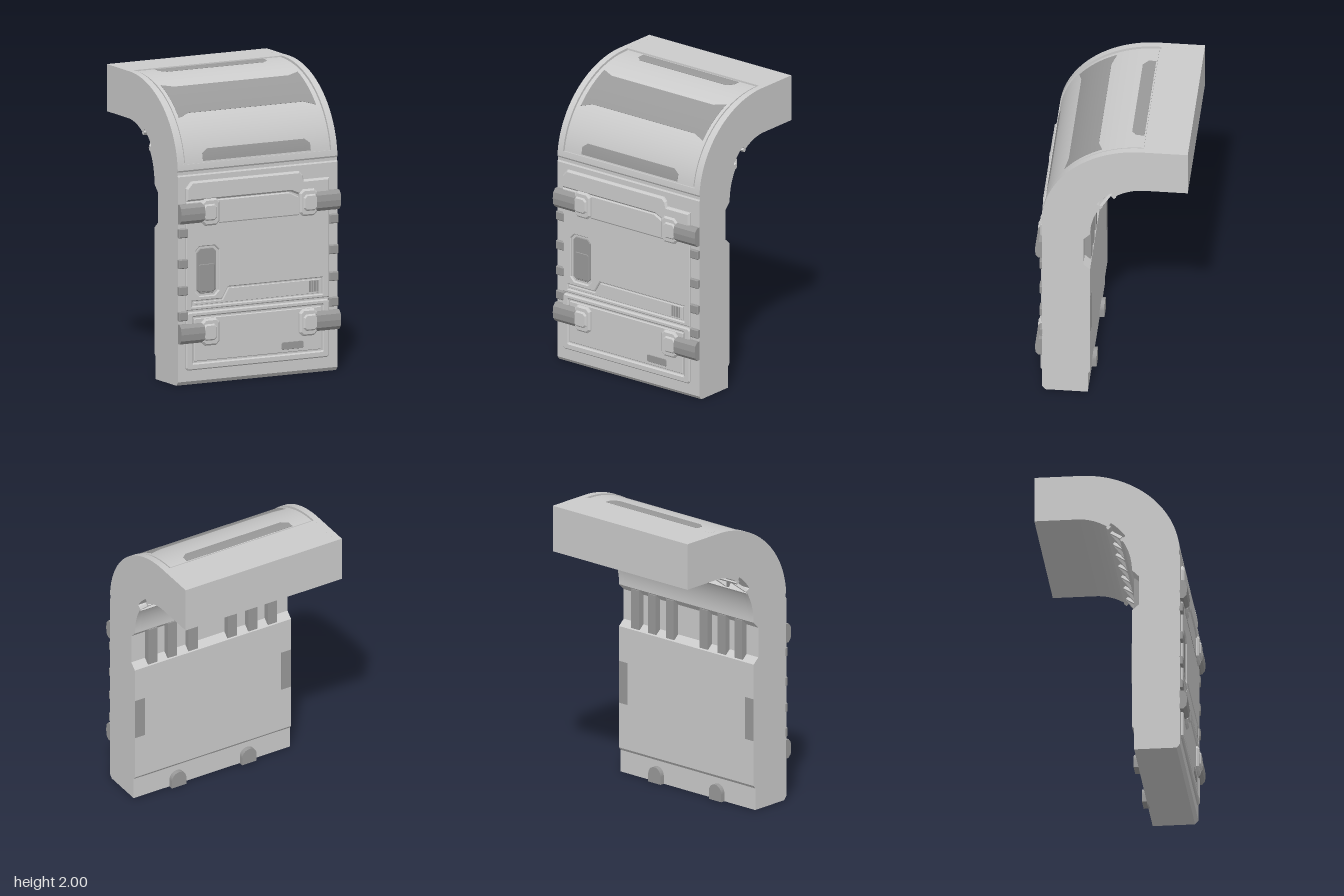
import * as THREE from 'three';
import { toCreasedNormals } from 'three/addons/utils/BufferGeometryUtils.js';

const light = new THREE.MeshStandardMaterial({ color: 0xcccccc });
const dark = new THREE.MeshStandardMaterial({ color: 0x999999 });
const V = (p) => new THREE.Vector2(p[0], p[1]);

function add(parent, name, geo, mat = light, x = 0, y = 0, z = 0) {
  const m = new THREE.Mesh(geo, mat);
  m.name = name;
  m.position.set(x, y, z);
  parent.add(m);
  return m;
}

// Flat plate facing +z, from z0 to z1, with bevelled edges and optional holes
function plate(points, z0, z1, bevel = 0.006, holes = []) {
  const s = new THREE.Shape(points.map(V));
  holes.forEach((h) => s.holes.push(new THREE.Path(h.map(V))));
  const geo = new THREE.ExtrudeGeometry(s, {
    depth: z1 - z0 - bevel, bevelEnabled: bevel > 0, bevelSegments: 1,
    bevelSize: bevel, bevelThickness: bevel, bevelOffset: -bevel,
  });
  return geo.translate(0, 0, z0);
}

// Rectangle with cut corners
function octagon(x0, x1, y0, y1, c) {
  return [[x0 + c, y0], [x1 - c, y0], [x1, y0 + c], [x1, y1 - c],
    [x1 - c, y1], [x0 + c, y1], [x0, y1 - c], [x0, y0 + c]];
}

// Points on the outer and inner curves of the bend, as [z, y]
const outer = (t, off = 0) => [-0.2 + (0.657 + off) * Math.cos(t), 1.4 + (0.6 + off) * Math.sin(t)];
const inner = (t, off = 0) => [-0.22 + (0.36 + off) * Math.cos(t), 1.3 + (0.385 + off) * Math.sin(t)];
const arc = (f, a, b, n, off) => Array.from({ length: n + 1 }, (_, i) => f(a + (b - a) * i / n, off));
const V0 = 0.125, V1 = 1.605;

// Side profile of the wall, with an optional sunken field for the curved visor
function wallProfile(sunk) {
  const bend = sunk
    ? [...arc(outer, 0.06, V0, 4, 0), ...arc(outer, V0, V1, 48, -sunk), outer(V1)]
    : arc(outer, 0.06, Math.PI / 2, 52, 0);
  return [
    [0.435, 0], [0.457, 0.025], [0.457, 1.395], [0.45, 1.405], [0.45, 1.425], ...bend,
    [-0.505, 2], [-0.505, 1.685],
    ...arc(inner, Math.PI / 2, 0.98, 14, 0),
    ...arc(inner, 0.98, 0.64, 6, 0.035),
    ...arc(inner, 0.64, 0, 14, 0),
    [0.185, 1.255], [0.185, 1.05], [0.14, 1.01], [0.14, 0.17], [0.155, 0.15], [0.155, 0],
  ];
}

function wall(x0, x1, sunk) {
  const geo = new THREE.ExtrudeGeometry(new THREE.Shape(wallProfile(sunk).map(V)),
    { depth: x1 - x0, bevelEnabled: false });
  geo.rotateY(-Math.PI / 2).translate(x1, 0, 0);
  return toCreasedNormals(geo, 0.3);
}

// Curved slab on the bend; each column is [x, start angle, end angle], x ascending
function curvedSlab(cols, lo, hi, n = 32) {
  const pos = [], idx = [], w = 2 * (n + 1);
  for (const [x, a, b] of cols) {
    const ring = [...arc(outer, a, b, n, hi), ...arc(outer, b, a, n, lo)];
    ring.forEach(([z, y]) => pos.push(x, y, z));
  }
  const quad = (a, b, c, d) => idx.push(a, b, c, a, c, d);
  for (let c = 0; c < cols.length - 1; c++)
    for (let i = 0; i < w; i++) {
      const j = (i + 1) % w, p = c * w;
      quad(p + i, p + w + i, p + w + j, p + j);
    }
  const e = (cols.length - 1) * w;
  for (let i = 0; i < n; i++) {
    quad(i, i + 1, w - 2 - i, w - 1 - i);
    quad(e + i, e + w - 1 - i, e + w - 2 - i, e + i + 1);
  }
  const geo = new THREE.BufferGeometry();
  geo.setAttribute('position', new THREE.Float32BufferAttribute(pos, 3));
  geo.setIndex(idx);
  return toCreasedNormals(geo, 0.5);
}

// Strap reaching in from the side edge with a foot gripping the door
function clamp(side, y) {
  const g = new THREE.Group();
  g.name = 'clamp';
  const X = (pts) => (side > 0 ? pts : pts.map(([x, v]) => [-x, v]).reverse());
  add(g, 'clampFoot', plate(X(octagon(0.3, 0.435, -0.09, 0.09, 0.025)), 0.455, 0.491, 0.012));
  add(g, 'clampPad', plate(X(octagon(0.325, 0.43, -0.055, 0.055, 0.02)), 0.48, 0.502, 0.01));
  const section = [[0.455, -0.065], [0.48, -0.065], [0.5, -0.042], [0.505, 0],
    [0.5, 0.042], [0.48, 0.065], [0.455, 0.065]];
  const strap = new THREE.ExtrudeGeometry(new THREE.Shape(section.map(V)), { depth: 0.18, bevelEnabled: false });
  strap.rotateY(-Math.PI / 2).translate(side > 0 ? 0.6 : -0.42, 0, 0);
  add(g, 'clampStrap', strap, dark);
  g.position.y = y;
  return g;
}

export function createModel() {
  const model = new THREE.Group();
  model.name = 'curvedWallModule';

  // Wall body
  const body = new THREE.Group();
  body.name = 'wallBody';
  add(body, 'wallCentre', wall(-0.555, 0.555, 0.016));
  add(body, 'wallSideLeft', wall(0.555, 0.6, 0));
  add(body, 'wallSideRight', wall(-0.6, -0.555, 0));
  model.add(body);

  // Curved visor and its inlays
  const visor = new THREE.Group();
  visor.name = 'visor';
  add(visor, 'visorPanel', curvedSlab([[-0.54, 0.14, 1.585], [0.54, 0.14, 1.585]], -0.02, -0.006, 48));
  add(visor, 'visorBand', curvedSlab([[-0.515, 0.655, 1.146], [-0.43, 0.706, 1.096],
    [0.43, 0.706, 1.096], [0.515, 0.655, 1.146]], -0.01, -0.004), dark);
  add(visor, 'visorLowerInlay', curvedSlab([[-0.405, 0.145, 0.23], [-0.365, 0.145, 0.28],
    [0.365, 0.145, 0.28], [0.405, 0.145, 0.23]], -0.01, -0.004), dark);
  add(visor, 'visorUpperInlay', curvedSlab([[-0.405, 1.495, 1.572], [-0.365, 1.441, 1.572],
    [0.365, 1.441, 1.572], [0.405, 1.495, 1.572]], -0.01, -0.004), dark);
  model.add(visor);

  // Upper door with handle recess and stepped lower insert
  const door = new THREE.Group();
  door.name = 'door';
  const insert = (d) => [[-0.5 + d, 0.525 + d], [0.48 - d, 0.525 + d], [0.48 - d, 0.635 - d],
    [-0.23 + d * 0.5, 0.635 - d], [-0.275 + d * 0.5, 0.56 - d], [-0.5 + d, 0.56 - d]];
  add(door, 'doorPanel', plate(
    [[-0.545, 0.5], [0.53, 0.5], [0.53, 1.19], [0.3, 1.19], [0.23, 1.225], [-0.545, 1.225]],
    0.455, 0.472, 0.006, [octagon(-0.475, -0.3, 0.59, 0.92, 0.03), insert(0)]));
  add(door, 'doorInsert', plate(insert(0.009), 0.455, 0.47, 0.002));
  add(door, 'handleRecess', plate(octagon(-0.46, -0.315, 0.605, 0.905, 0.025), 0.455, 0.464, 0.003), dark);
  add(door, 'handle', plate(octagon(-0.445, -0.33, 0.615, 0.8, 0.008), 0.46, 0.468, 0.003), dark);
  add(door, 'doorSeam', new THREE.BoxGeometry(0.6, 0.006, 0.004), dark, 0, 1.07, 0.4715);
  for (let i = 0; i < 4; i++)
    add(door, 'ventSlot', new THREE.BoxGeometry(0.012, 0.075, 0.006), dark, 0.385 + i * 0.019, 0.582, 0.47);
  add(door, 'headerPlate', plate([[-0.545, 1.23], [0.24, 1.23], [0.31, 1.2], [0.53, 1.2], [0.53, 1.3],
    [0.34, 1.3], [0.33, 1.335], [0.305, 1.36], [-0.505, 1.36], [-0.545, 1.315]], 0.455, 0.479, 0.012));
  model.add(door);

  // Lower hatch
  const hatch = new THREE.Group();
  hatch.name = 'lowerHatch';
  add(hatch, 'hatchFrame', plate(octagon(-0.545, 0.53, 0.1, 0.487, 0.015), 0.455, 0.475, 0.008,
    [octagon(-0.495, 0.48, 0.145, 0.455, 0.004)]));
  add(hatch, 'hatchPanel', plate(octagon(-0.485, 0.47, 0.157, 0.443, 0.004), 0.455, 0.471, 0.004));
  add(hatch, 'hatchTag', plate(octagon(0.17, 0.335, 0.177, 0.227, 0.008), 0.465, 0.474, 0.002), dark);
  model.add(hatch);

  // Clamps, edge hinges and rear parts on both sides
  for (const s of [1, -1]) {
    for (const y of [0.347, 1.148]) model.add(clamp(s, y));
    for (const y of [0.465, 0.635, 0.815, 1.02])
      add(model, 'edgeHinge', plate(octagon(-0.035, 0.035, -0.031, 0.031, 0.004), 0.45, 0.476, 0.006),
        dark, s * 0.565, y, 0);
    for (const x of [0.15, 0.31, 0.46])
      add(model, 'backRib', new THREE.BoxGeometry(0.07, 0.27, 0.06), dark, s * x, 1.155, 0.172);
    add(model, 'backSidePanel', new THREE.BoxGeometry(0.075, 0.29, 0.01), dark, s * 0.562, 0.625, 0.1435);

    // Round-topped foot tab at the rear base
    const tab = new THREE.Shape();
    tab.moveTo(-0.055, 0).lineTo(0.055, 0).lineTo(0.055, 0.055);
    tab.absarc(0, 0.055, 0.055, 0, Math.PI, false);
    const geo = new THREE.ExtrudeGeometry(tab, { depth: 0.04, bevelEnabled: false, curveSegments: 16 });
    add(model, 'footTab', toCreasedNormals(geo, 0.5), dark, s * 0.27, 0, 0.123);
  }

  // Lattice strip under the bend
  const lattice = new THREE.Group();
  lattice.name = 'lattice';
  const h = 0.13, n = 14, step = 1.2 / n;
  for (const y of [-h / 2, h / 2])
    add(lattice, 'latticeRail', new THREE.BoxGeometry(1.198, 0.02, 0.028), light, 0, y, 0);
  for (let i = 0; i < n; i++) {
    const bar = add(lattice, 'latticeBar', new THREE.BoxGeometry(0.018, Math.hypot(h, step) - 0.02, 0.02),
      light, -0.6 + (i + 0.5) * step, 0, 0.004);
    bar.rotation.z = (i % 2 ? 1 : -1) * Math.atan2(step, h);
  }
  lattice.position.set(0, 1.573, 0.031);
  lattice.rotation.x = -Math.PI / 4;
  model.add(lattice);

  return model;
}
